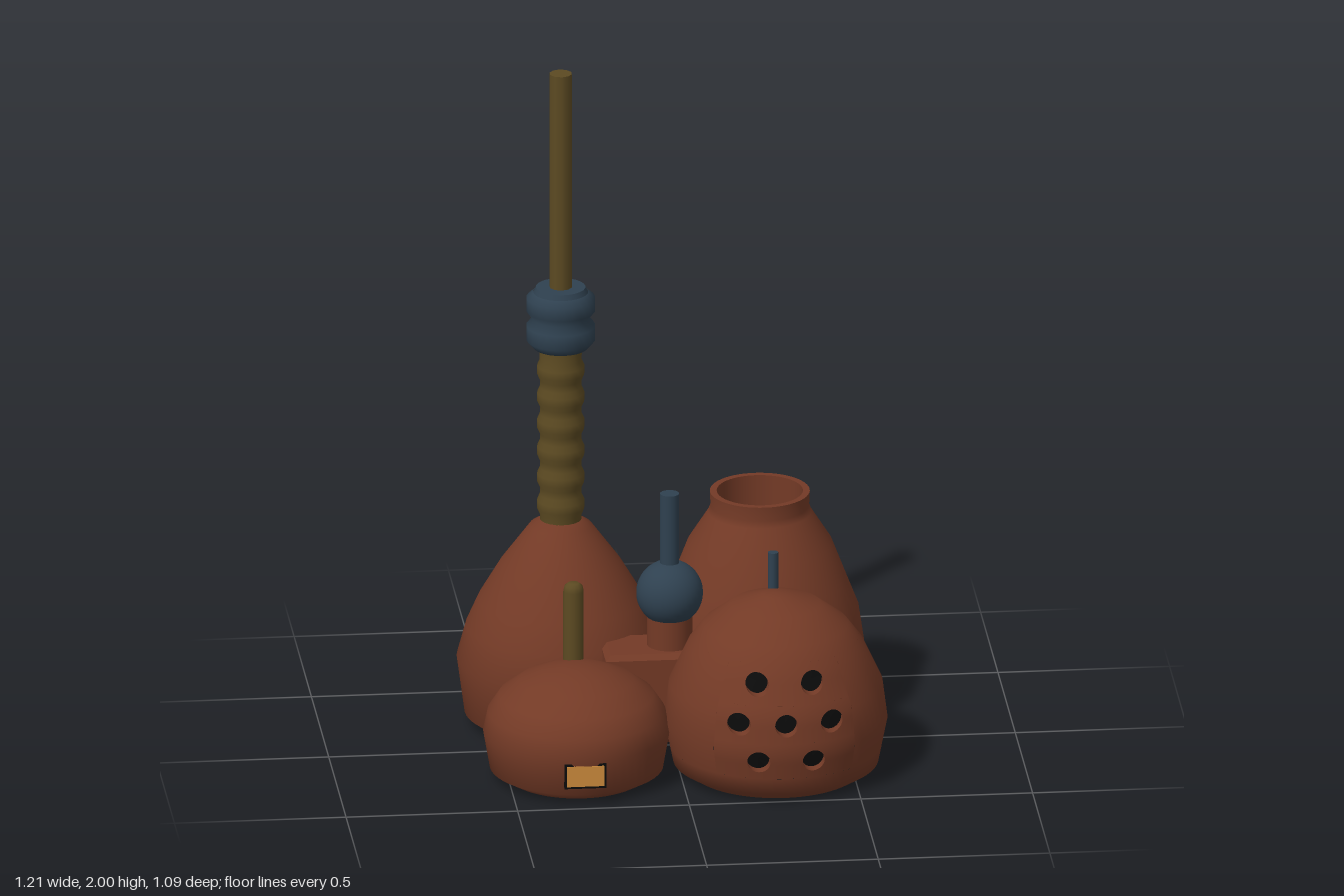
import * as THREE from 'three';

const paint = (name, color) => Object.assign(new THREE.MeshStandardMaterial({ color }), { name });

export function createModel() {
  const clay = paint('clay brown', 0x733a26);
  const olive = paint('olive brass', 0x5c4a22);
  const steel = paint('blue steel', 0x2f4150);
  const amber = paint('amber', 0xcc8a3c);
  const dark = paint('dark interior', 0x0b0b0b);
  const model = new THREE.Group();

  const add = (name, geo, mat, x = 0, y = 0, z = 0, parent = model) => {
    const m = new THREE.Mesh(geo, mat);
    m.name = name;
    m.position.set(x, y, z);
    parent.add(m);
    return m;
  };
  const lathe = (pts, seg = 56, start = 0, len = Math.PI * 2) =>
    new THREE.LatheGeometry(pts.map(([r, y]) => new THREE.Vector2(r, y)), seg, start, len);
  const group = (name, x, z) => {
    const g = new THREE.Group();
    g.name = name;
    g.position.set(x, 0, z);
    model.add(g);
    return g;
  };
  const base = (g, r) => {
    add('base', new THREE.CircleGeometry(r, 56).rotateX(Math.PI / 2), clay, 0, 0, 0, g);
  };
  const rod = (name, r, y0, y1, mat, x, z, seg = 12) =>
    add(name, new THREE.CylinderGeometry(r, r, y1 - y0, seg), mat, x, (y0 + y1) / 2, z);

  // Back pot carrying the mast
  const mastPot = group('mastPot', -0.3, -0.24);
  add('body', lathe([[0.23, 0], [0.28, 0.035], [0.302, 0.2], [0.275, 0.3], [0.24, 0.38],
    [0.175, 0.49], [0.09, 0.605], [0.05, 0.63], [0, 0.63]]), clay, 0, 0, 0, mastPot);
  base(mastPot, 0.23);

  // Ribbed mast, coupler and long rod
  const ribbed = [[0.06, 0.6]];
  for (let i = 0; i < 6; i++) {
    const y = 0.67 + i * 0.083;
    ribbed.push([0.061, y - 0.03], [0.069, y - 0.012], [0.069, y + 0.012], [0.061, y + 0.03]);
  }
  ribbed.push([0.062, 1.16]);
  add('ribbedMast', lathe(ribbed, 20), olive, 0, 0, 0, mastPot);
  add('mastCoupler', lathe([[0, 1.155], [0.08, 1.155], [0.1, 1.178], [0.1, 1.222], [0.082, 1.245],
    [0.1, 1.268], [0.1, 1.308], [0.08, 1.325]], 24), steel, 0, 0, 0, mastPot);
  add('couplerCap', new THREE.CylinderGeometry(0.072, 0.08, 0.02, 24), steel, 0, 1.33, 0, mastPot);
  rod('mastRod', 0.033, 1.32, 2, olive, -0.3, -0.24, 10);

  // Back pot with an open mouth
  const openPot = group('openPot', 0.28, -0.24);
  add('body', lathe([[0.22, 0], [0.275, 0.03], [0.306, 0.2], [0.287, 0.33], [0.252, 0.42],
    [0.21, 0.53], [0.15, 0.625], [0.143, 0.645], [0.145, 0.688]]), clay, 0, 0, 0, openPot);
  add('rim', lathe([[0.145, 0.688], [0.125, 0.688]]), clay, 0, 0, 0, openPot);
  add('innerNeck', lathe([[0.125, 0.688], [0.125, 0.56]]), clay, 0, 0, 0, openPot);
  add('mouthDark', new THREE.CircleGeometry(0.126, 40).rotateX(-Math.PI / 2), dark, 0, 0.56, 0, openPot);
  base(openPot, 0.22);

  // Low front pot with a lit slot and a stub rod
  const lowPot = group('lowPot', -0.3, 0.215);
  add('body', lathe([[0.2, 0], [0.252, 0.03], [0.271, 0.14], [0.258, 0.2], [0.225, 0.25],
    [0.165, 0.295], [0.1, 0.322], [0.04, 0.336], [0, 0.336]]), clay, 0, 0, 0, lowPot);
  base(lowPot, 0.2);
  add('slotFrame', new THREE.BoxGeometry(0.122, 0.076, 0.04), dark, 0, 0.093, 0.246, lowPot);
  add('slotLight', new THREE.BoxGeometry(0.108, 0.062, 0.006), amber, 0, 0.093, 0.266, lowPot);
  add('stubRod', lathe([[0.03, 0.27], [0.03, 0.535], [0.026, 0.552], [0.016, 0.56], [0, 0.56]], 12),
    olive, -0.3, 0, 0.127);

  buildGrilleDome(group('grilleDome', 0.28, 0.22), add, base, lathe, clay, dark);
  rod('domePin', 0.015, 0.48, 0.64, steel, 0.28, 0.145);

  // Middle block with bevelled top, pedestal, ball and rod
  const outline = new THREE.Shape();
  outline.moveTo(-0.19, -0.11).lineTo(0.035, -0.11).lineTo(0.035, 0.05).lineTo(-0.19, 0.05).closePath();
  const block = new THREE.ExtrudeGeometry(outline, {
    depth: 0.245, bevelEnabled: true, bevelSize: 0.015, bevelThickness: 0.015, bevelSegments: 1,
  });
  add('middleBlock', block.rotateX(-Math.PI / 2), clay, 0, 0.065, 0);
  rod('pedestal', 0.066, 0.3, 0.42, clay, -0.01, 0.03, 24);
  add('ball', new THREE.SphereGeometry(0.097, 32, 20), steel, -0.01, 0.484, 0.03);
  rod('ballRod', 0.028, 0.55, 0.79, steel, -0.01, 0.03, 16);
  return model;
}

// Front dome with seven round openings cut into its face
function buildGrilleDome(g, add, base, lathe, clay, dark) {
  const profile = [[0.25, 0], [0.298, 0.03], [0.324, 0.16], [0.31, 0.27], [0.255, 0.39], [0.21, 0.45],
    [0.13, 0.51], [0.04, 0.54], [0, 0.543]];
  const top = 0.543, low = 0.08, high = 0.41, side = 0.69;
  const radius = (y) => {
    const i = Math.max(1, profile.findIndex((p) => p[1] >= y - 1e-6));
    const [[r0, y0], [r1, y1]] = [profile[i - 1], profile[i]];
    return r0 + (r1 - r0) * (y - y0) / (y1 - y0);
  };
  const onDome = (phi, y) => [radius(y) * Math.sin(phi), y, radius(y) * Math.cos(phi)];

  // One shared normal rule keeps the patches seamless
  const smooth = (geo) => {
    const p = geo.attributes.position, n = geo.attributes.normal, v = new THREE.Vector3();
    for (let i = 0; i < p.count; i++) {
      const x = p.getX(i), z = p.getZ(i), r = Math.hypot(x, z);
      const a = Math.max(0, p.getY(i) - 0.03), b = Math.min(top, p.getY(i) + 0.03);
      if (r < 0.002) v.set(0, 1, 0);
      else v.set(x / r * (b - a), radius(a) - radius(b), z / r * (b - a)).normalize();
      n.setXYZ(i, v.x, v.y, v.z);
    }
    return geo;
  };
  const slice = (a, b) =>
    [[radius(a), a], ...profile.filter((p) => p[1] > a + 1e-4 && p[1] < b - 1e-4), [radius(b), b]];
  add('domeFoot', smooth(lathe(slice(0, low), 64)), clay, 0, 0, 0, g);
  add('domeCrown', smooth(lathe(slice(high, top), 64)), clay, 0, 0, 0, g);
  add('domeBack', smooth(lathe(slice(low, high), 52, side, Math.PI * 2 - 2 * side)), clay, 0, 0, 0, g);
  base(g, 0.25);

  // Skin between rings of points
  const N = 24;
  const loft = (rings) => {
    const index = [];
    for (let j = 0; j < rings.length - 1; j++) {
      for (let i = 0; i < N; i++) {
        const a = j * N + i, b = j * N + (i + 1) % N;
        index.push(a, a + N, b + N, a, b + N, b);
      }
    }
    const geo = new THREE.BufferGeometry();
    geo.setAttribute('position', new THREE.Float32BufferAttribute(rings.flat(2), 3));
    geo.setIndex(index);
    geo.computeVertexNormals();
    return geo;
  };
  const ring = (f) => Array.from({ length: N }, (_, i) => f(Math.cos(i / N * 2 * Math.PI), Math.sin(i / N * 2 * Math.PI)));

  const rows = [[0.135, [-0.08, 0.08]], [0.245, [-0.135, 0, 0.135]], [0.357, [-0.08, 0.08]]];
  const hole = 0.033, depth = 0.035, hy = (high - low) / 6;
  rows.forEach(([y, xs], row) => xs.forEach((x, k) => {
    const hp = side / xs.length, cp = -side + hp * (2 * k + 1), cy = low + hy * (2 * row + 1);
    const rings = [0, 0.25, 0.5, 0.75, 1].map((t) => ring((c, s) => {
      const m = Math.max(Math.abs(c), Math.abs(s));
      const yi = y + hole * s, pi = Math.asin((x + hole * c) / radius(yi));
      return onDome(pi + (cp + hp * c / m - pi) * t, yi + (cy + hy * s / m - yi) * t);
    }));
    add('grillePanel', smooth(loft(rings)), clay, 0, 0, 0, g);
    const back = rings[0].map(([px, py, pz]) => [px, py, pz - depth]);
    add('holeWall', loft([back, rings[0]]), clay, 0, 0, 0, g);
    const centre = onDome(Math.asin(x / radius(y)), y);
    centre[2] -= depth;
    add('holeDark', loft([ring(() => centre), back]), dark, 0, 0, 0, g);
  }));
}
